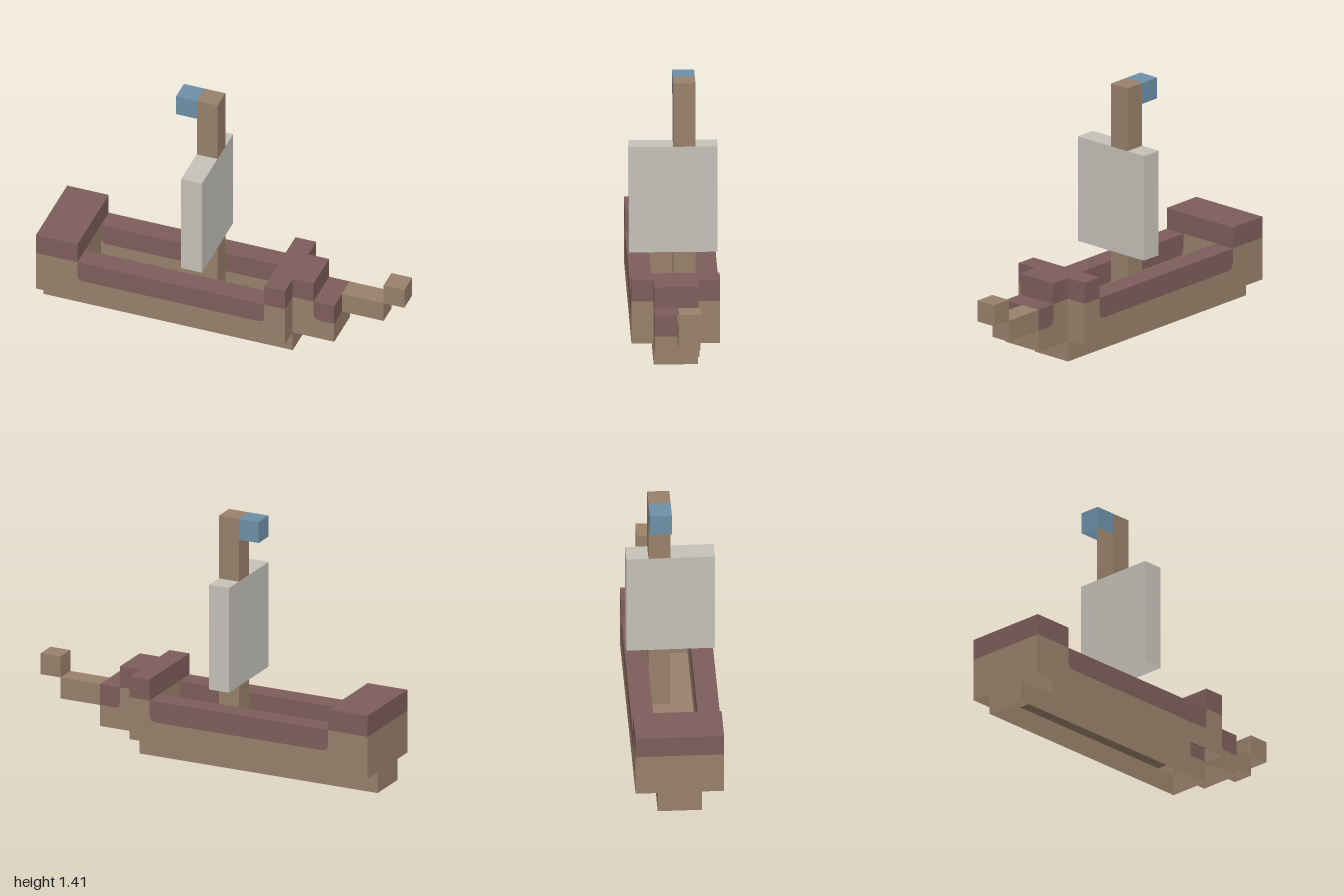
import * as THREE from 'three';

const U = 2 / 17; // one block
const FACES = ['px', 'nx', 'py', 'ny', 'pz', 'nz']; // face order of a box
const SIDES = 'px nx pz nz';
const OPEN_BELOW = SIDES + ' py';

export function createModel() {
  const model = new THREE.Group();
  model.name = 'sailingBoat';

  // The boat is a shell without undersides, so its inside can be seen
  const paint = (name, color) => {
    const m = new THREE.MeshStandardMaterial({ color, side: THREE.DoubleSide });
    m.name = name;
    return m;
  };
  const wood = paint('paleWood', 0x98806a);
  const trim = paint('darkWood', 0x7d5d5a);
  const cloth = paint('sailCloth', 0xc4c1b8);
  const blue = paint('flagBlue', 0x6d8fa8);

  const add = (name, geometry, material) => {
    const mesh = new THREE.Mesh(geometry, material);
    mesh.name = name;
    model.add(mesh);
    return mesh;
  };

  // Chosen faces of a box in block units: x from the stern, y from the ground, z from the middle
  const box = (name, material, [x0, x1], [y0, y1], [z0, z1], faces = OPEN_BELOW) => {
    const g = new THREE.BoxGeometry((x1 - x0) * U, (y1 - y0) * U, (z1 - z0) * U);
    const all = Array.from(g.index.array);
    g.setIndex(faces.split(' ').flatMap((f) => {
      const start = FACES.indexOf(f) * 6;
      return all.slice(start, start + 6);
    }));
    g.clearGroups();
    const mesh = add(name, g, material);
    mesh.position.set(-1 + (x0 + x1) / 2 * U, (y0 + y1) / 2 * U, (z0 + z1) / 2 * U);
  };

  // Flat side sheet cut to a profile in block units
  const sheet = (name, material, points, z) => {
    const shape = new THREE.Shape(points.map(([x, y]) => new THREE.Vector2(x * U - 1, y * U)));
    add(name, new THREE.ShapeGeometry(shape), material).position.z = z * U;
  };

  // Keel, open below, and the deck on it
  box('keel', wood, [0, 12], [0, 1], [-1, 1], SIDES);
  box('deck', wood, [2, 11], [0, 1], [-1, 1], 'py');

  // Hollow side walls, with a dark rail let into the pale planks
  const railEdge = [[2, 3], [2, 2.25], [2.07, 2.07], [2.25, 2], [10.75, 2], [10.93, 2.07], [11, 2.25], [11, 3]];
  const railBack = [...railEdge].reverse();
  const outerPlanks = [[0, 1], [12, 1], [12, 3], ...railBack, [0, 3]];
  const innerPlanks = [[2, 1], [11, 1], ...railBack];
  for (const [side, s] of [['left', 1], ['right', -1]]) {
    const z = s > 0 ? [1, 2] : [-2, -1];
    sheet(side + 'OuterPlanks', wood, outerPlanks, 2 * s);
    sheet(side + 'OuterRail', trim, railEdge, 2 * s);
    sheet(side + 'InnerPlanks', wood, innerPlanks, s);
    sheet(side + 'InnerRail', trim, railEdge, s);
    box(side + 'RailTop', trim, [2, 11], [2, 3], z, 'py');
    box(side + 'BowPlanks', wood, [11, 12], [1, 3], z, 'px');
    box(side + 'BowCapFront', trim, [11, 12], [3, 4], z, 'px');
  }

  // Raised stern and bow ends
  box('sternPlanks', wood, [0, 2], [1, 3], [-2, 2], 'nx');
  box('sternInnerPlanks', wood, [0, 2], [1, 3], [-1, 1], 'px');
  box('sternCap', trim, [0, 2], [3, 4], [-2, 2]);
  box('bowInnerPlanks', wood, [11, 12], [1, 3], [-1, 1], 'nx');
  box('bowCap', trim, [11, 12], [3, 4], [-2, 2], 'nx py pz nz');

  // Stepped prow
  const prowEdge = [[13, 3], [13, 2.25], [13.07, 2.07], [13.25, 2], [14, 2]];
  for (const z of [-1, 1]) {
    sheet('prowSide', wood, [[12, 1], [14, 1], ...[...prowEdge].reverse(), [12, 3]], z);
    sheet('prowStepSide', trim, [...prowEdge, [14, 3]], z);
  }
  box('prowFront', wood, [12, 14], [1, 2], [-1, 1], 'px');
  box('prowStepFront', trim, [13, 14], [2, 3], [0, 1], 'px');
  box('prowStepTop', trim, [13, 14], [2, 3], [-1, 1], 'py');
  box('prowCap', trim, [12, 13], [3, 4], [-1, 1], 'px py pz nz');

  // Bowsprit
  box('bowsprit', wood, [14, 16], [2, 3], [-1, 0], 'px py pz nz');
  box('bowspritTip', wood, [16, 17], [3, 4], [-1, 0]);

  // Mast, sail and flag
  box('lowerMast', wood, [7, 8], [1, 4], [-1, 0], SIDES);
  box('sail', cloth, [7, 8], [4, 9], [-2, 2]);
  box('upperMast', wood, [7, 8], [9, 12], [-1, 0]);
  box('flag', blue, [6, 7], [11, 12], [-1, 0], 'nx py pz nz');

  return model;
}
